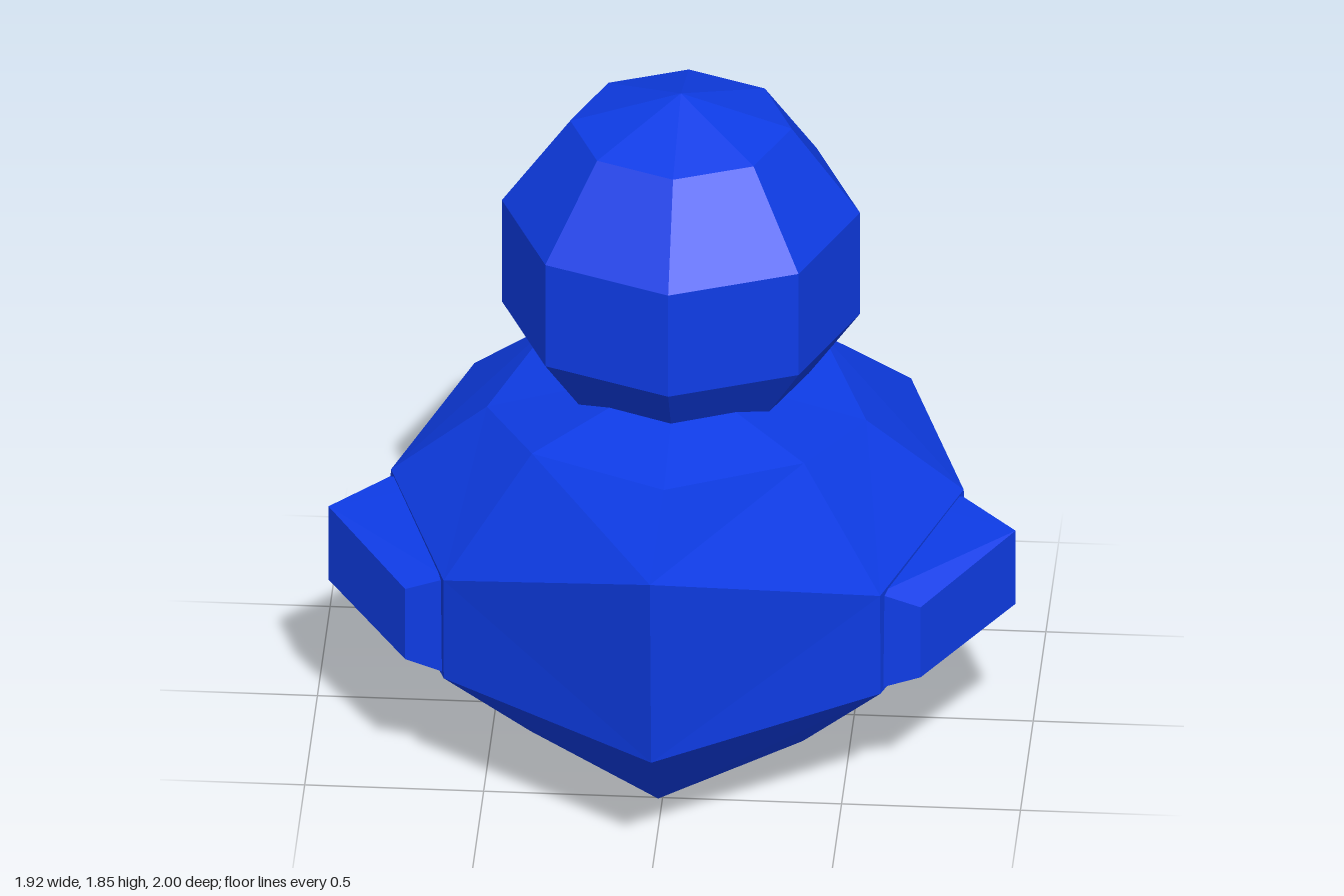
import * as THREE from 'three';
import { ConvexGeometry } from 'three/addons/geometries/ConvexGeometry.js';

const mat = (name, color) => {
  const m = new THREE.MeshStandardMaterial({ color });
  m.name = name;
  return m;
};
const vec = (p) => new THREE.Vector3(...p);

// Flat-shaded geometry: every face gets its own corners.
function faceted(geometry) {
  const g = geometry.index ? geometry.toNonIndexed() : geometry;
  g.computeVertexNormals();
  return g;
}

// Half rings run from the breast (-z) round the +x side to the tail (+z).
function bodyGeometry() {
  const rings = [
    [[0, 0.1, -0.61], [0.38, 0.1, -0.46], [0.53, 0.08, -0.08], [0.38, 0.1, 0.33], [0, 0.1, 0.68]],
    [[0, 0.37, -0.94], [0.61, 0.37, -0.69], [0.82, 0.37, -0.08], [0.61, 0.37, 0.52], [0, 0.37, 0.95]],
    [[0, 0.69, -0.94], [0.61, 0.69, -0.69], [0.8, 0.69, -0.08], [0.61, 0.69, 0.53], [0, 0.97, 1]],
    [[0, 0.96, -0.61], [0.38, 0.96, -0.45], [0.53, 0.92, -0.05], [0.38, 0.97, 0.29], [0, 0.96, 0.45]],
  ];
  const pos = [];
  for (const half of rings) {
    const mirrored = half.slice(1, 4).reverse().map(([x, y, z]) => [-x, y, z]);
    for (const p of [...half, ...mirrored]) pos.push(...p);
  }
  const bottom = 32, top = 33;
  pos.push(0, 0, -0.08, 0, 1.06, -0.06);
  const index = [];
  for (let i = 0; i < 8; i++) {
    const j = (i + 1) % 8;
    index.push(bottom, i, j, top, 24 + j, 24 + i);
    for (let r = 0; r < 3; r++) {
      const a = r * 8 + i, b = r * 8 + j, c = a + 8, d = b + 8;
      // Diagonals are mirrored between the two sides.
      if (i < 4) index.push(a, c, b, b, c, d);
      else index.push(a, d, b, a, c, d);
    }
  }
  const g = new THREE.BufferGeometry();
  g.setAttribute('position', new THREE.Float32BufferAttribute(pos, 3));
  g.setIndex(index);
  return faceted(g);
}

// Wing footprint with a bottom and top height at each corner: x, z, low, high.
function wingGeometry(side) {
  const corners = [
    [0.6, 0.5, 0.375, 0.68], [0.72, 0.49, 0.41, 0.635], [0.96, 0.13, 0.45, 0.685],
    [0.8, -0.05, 0.44, 0.685], [0.6, -0.05, 0.4, 0.685],
  ];
  const pts = corners.flatMap(([x, z, lo, hi]) => [vec([side * x, lo, z]), vec([side * x, hi, z])]);
  return faceted(new ConvexGeometry(pts));
}

function beakGeometry() {
  const middle = [[1.28, -1], [1.15, -1], [1.32, -0.72], [1.03, -0.77], [1.02, -0.62], [1.3, -0.5], [1.04, -0.5]];
  const sides = [[0.18, 1.24, -0.82], [0.18, 1.155, -0.82], [0.26, 1.18, -0.61], [0.26, 1.04, -0.56]];
  const pts = middle.map(([y, z]) => vec([0, y, z]));
  for (const [x, y, z] of sides) pts.push(vec([x, y, z]), vec([-x, y, z]));
  return faceted(new ConvexGeometry(pts));
}

export function createModel() {
  const group = new THREE.Group();
  const blue = mat('blue', 0x0e3ce6);
  const grey = mat('pale grey', 0xe4e4e4);
  blue.flatShading = grey.flatShading = true;
  const add = (name, geometry, material) => {
    const mesh = new THREE.Mesh(geometry, material);
    mesh.name = name;
    group.add(mesh);
    return mesh;
  };

  add('body', bodyGeometry(), blue);
  add('head', faceted(new THREE.SphereGeometry(0.526, 8, 5)), blue).position.set(0, 1.325, -0.22);
  add('beak', beakGeometry(), grey);
  add('leftWing', wingGeometry(1), blue);
  add('rightWing', wingGeometry(-1), blue);
  return group;
}
